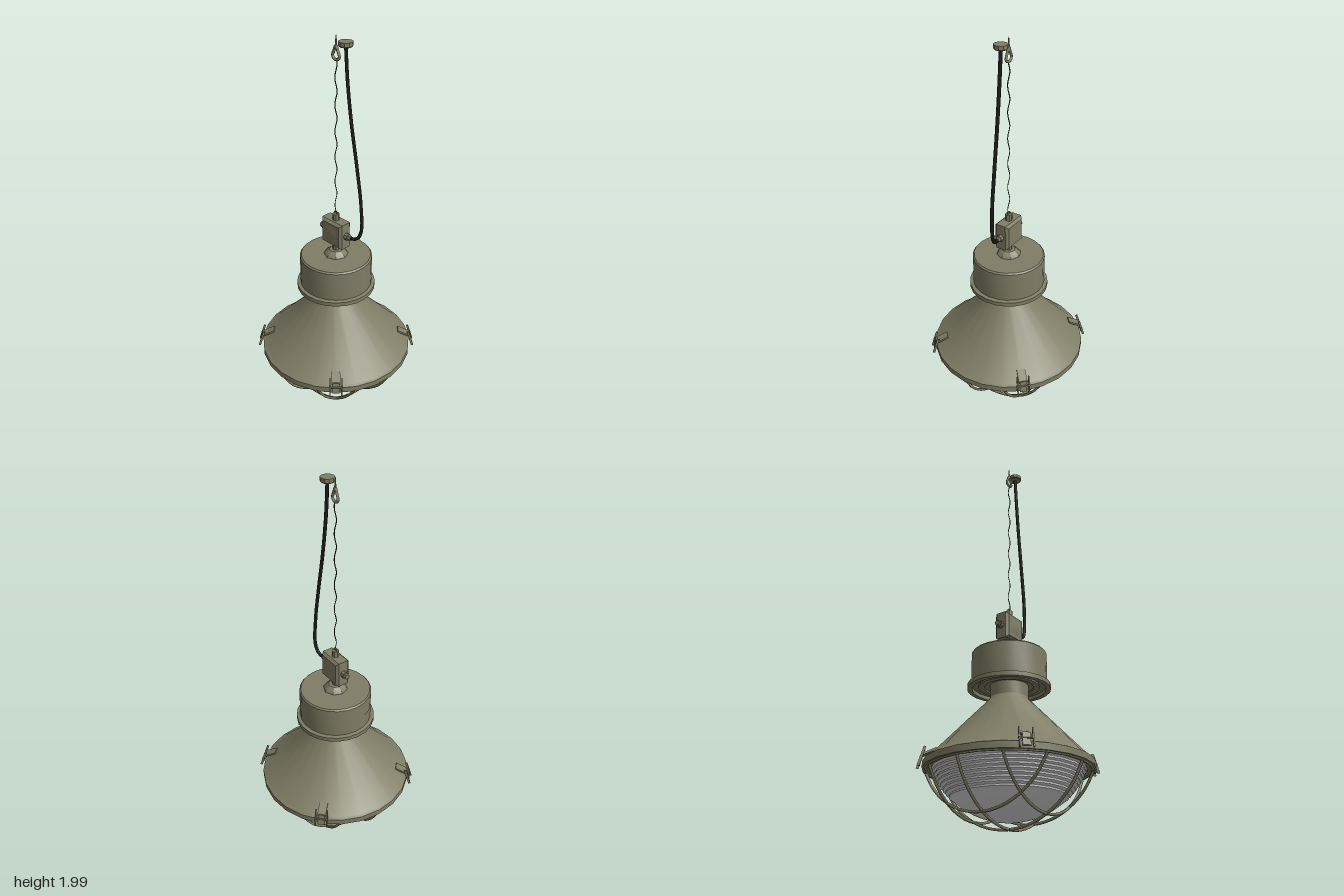
import * as THREE from 'three';
import { toCreasedNormals } from 'three/addons/utils/BufferGeometryUtils.js';

const paint = new THREE.MeshStandardMaterial({ color: 0x7f7d65 });
paint.name = 'olive paint';
const glassMat = new THREE.MeshStandardMaterial({ color: 0xdedede });
glassMat.name = 'pale glass';
const rubber = new THREE.MeshStandardMaterial({ color: 0x1c1c19 });
rubber.name = 'black rubber';

function add(parent, name, geometry, material = paint, x = 0, y = 0, z = 0) {
  const mesh = new THREE.Mesh(geometry, material);
  mesh.name = name;
  mesh.position.set(x, y, z);
  parent.add(mesh);
  return mesh;
}

const lathe = (points, sides = 24) => toCreasedNormals(
  new THREE.LatheGeometry(points.map(([r, y]) => new THREE.Vector2(r, y)), sides), 0.5);

const tube = (points, radius, steps, sides = 6, closed = false) => new THREE.TubeGeometry(
  new THREE.CatmullRomCurve3(points.map(p => new THREE.Vector3(...p)), closed), steps, radius, sides, closed);

const cyl = (rTop, rBottom, h, sides) => toCreasedNormals(
  new THREE.CylinderGeometry(rTop, rBottom, h, sides), 0.5);

// One spring clamp, built facing +z with the rim at z = 0.4
function makeClamp() {
  const clamp = new THREE.Group();
  clamp.name = 'rimClamp';
  const tab = add(clamp, 'clampTab', new THREE.BoxGeometry(0.044, 0.01, 0.07), paint, 0, 0.345, 0.372);
  tab.rotation.x = 0.45;
  const lever = add(clamp, 'clampLever', new THREE.BoxGeometry(0.036, 0.06, 0.008), paint, 0, 0.31, 0.411);
  lever.rotation.x = -0.2;
  const pin = add(clamp, 'clampPin', cyl(0.006, 0.006, 0.07, 8), paint, 0, 0.315, 0.412);
  pin.rotation.z = Math.PI / 2;
  for (const side of [-1, 1]) {
    const arm = add(clamp, 'clampArm', new THREE.BoxGeometry(0.006, 0.095, 0.012), paint, side * 0.03, 0.318, 0.41);
    arm.rotation.x = -0.3;
  }
  return clamp;
}

export function createModel() {
  const lamp = new THREE.Group();
  lamp.name = 'pendantLamp';

  // Conical shade with rim band and neck
  add(lamp, 'shade', lathe([
    [0.35, 0.285], [0.365, 0.272], [0.405, 0.272], [0.405, 0.303], [0.388, 0.31],
    [0.102, 0.612], [0.094, 0.625], [0.094, 0.7],
  ]));

  // Gear housing with a stepped underside, flange and bevelled lid
  add(lamp, 'housing', lathe([
    [0.09, 0.69], [0.12, 0.69], [0.12, 0.682], [0.15, 0.682], [0.15, 0.69], [0.18, 0.69], [0.18, 0.672],
    [0.205, 0.672], [0.205, 0.694], [0.187, 0.698], [0.187, 0.855], [0.18, 0.863], [0, 0.863],
  ]));
  add(lamp, 'ratingPlate', new THREE.CylinderGeometry(0.189, 0.189, 0.05, 4, 1, true, -1.3, 0.4), paint, 0, 0.797, 0);
  add(lamp, 'boss', lathe([[0.064, 0.862], [0.06, 0.87], [0.035, 0.89], [0, 0.89]], 8));
  add(lamp, 'stem', cyl(0.017, 0.017, 0.05, 8), paint, 0, 0.91, 0);

  // Glass bowl: a spherical cap, smooth below and stepped into ribs above
  const glassRadius = y => Math.sqrt(0.396 ** 2 - (0.436 - y) ** 2);
  const profile = [[0, 0.04]];
  for (const y of [0.043, 0.05, 0.062, 0.078, 0.096, 0.115, 0.135]) profile.push([glassRadius(y), y]);
  for (let y = 0.14; y < 0.275; y += 0.016) {
    const r = glassRadius(y + 0.012);
    profile.push([r - 0.004, y + 0.004], [r, y + 0.006], [r, y + 0.013], [r - 0.003, y + 0.015]);
  }
  add(lamp, 'glassBowl', lathe(profile), glassMat);

  // Guard cage: three bars each way, following a shallow spherical cap
  const rim = 0.39, sphere = 0.4225;
  for (const turn of [0, Math.PI / 2]) {
    for (const offset of [-0.2, 0, 0.2]) {
      const half = Math.sqrt(rim * rim - offset * offset);
      const points = [];
      for (let i = 0; i <= 16; i++) {
        const u = half * (i / 8 - 1);
        points.push([u, 0.4295 - Math.sqrt(sphere * sphere - u * u - offset * offset), offset]);
      }
      add(lamp, 'guardBar', tube(points, 0.007, 24)).rotation.y = turn;
    }
  }
  const guardRing = add(lamp, 'guardRing', new THREE.TorusGeometry(0.388, 0.006, 6, 24), paint, 0, 0.271, 0);
  guardRing.rotation.x = Math.PI / 2;

  // Four clamps on the rim
  for (let i = 0; i < 4; i++) {
    const clamp = makeClamp();
    clamp.rotation.y = Math.PI / 4 + i * Math.PI / 2;
    lamp.add(clamp);
  }

  // Junction box with bevelled edges and a shallow domed cover
  const s = 0.058;
  const square = new THREE.Shape([[-s, -s], [s, -s], [s, s], [-s, s]].map(p => new THREE.Vector2(...p)));
  const box = new THREE.ExtrudeGeometry(square, {
    depth: 0.054, bevelThickness: 0.013, bevelSize: 0.012, bevelSegments: 1,
  });
  add(lamp, 'junctionBox', box, paint, 0, 0.996, -0.027);
  const cover = add(lamp, 'boxCover', cyl(0.015, 0.05, 0.006, 8), paint, 0, 0.996, 0.042);
  cover.rotation.x = Math.PI / 2;

  // Cable glands on both sides and the hanging eye on top
  for (const side of [-1, 1]) {
    const collar = add(lamp, 'glandCollar', cyl(0.018, 0.018, 0.02, 8), paint, side * 0.079, 0.996, 0);
    const nut = add(lamp, 'glandNut', cyl(0.014, 0.014, 0.018, 6), paint, side * 0.096, 0.996, 0);
    collar.rotation.z = nut.rotation.z = Math.PI / 2;
  }
  add(lamp, 'topCollar', cyl(0.018, 0.018, 0.034, 8), paint, 0, 1.083, 0);
  add(lamp, 'topEye', new THREE.TorusGeometry(0.01, 0.004, 6, 10), paint, 0, 1.102, 0);

  // Twisted suspension wire
  const twist = [];
  for (let i = 0; i <= 48; i++) {
    const a = i * Math.PI / 4;
    twist.push([0.005 * Math.cos(a), 1.1 + 0.785 * i / 48, 0.005 * Math.sin(a)]);
  }
  add(lamp, 'suspensionWire', tube(twist, 0.0025, 96, 4), rubber);

  // Ceiling hook: teardrop loop and pointed shank
  add(lamp, 'hookLoop', tube([
    [0, 1.95, 0], [0.012, 1.925, 0], [0.021, 1.902, 0], [0.014, 1.889, 0],
    [0, 1.885, 0], [-0.014, 1.889, 0], [-0.021, 1.902, 0], [-0.012, 1.925, 0],
  ], 0.007, 24, 6, true));
  add(lamp, 'hookShank', cyl(0.002, 0.007, 0.06, 6), paint, 0, 1.965, 0);

  // Power cable and ceiling cap
  add(lamp, 'powerCable', tube([
    [0.1, 0.996, 0], [0.135, 1.003, -0.008], [0.16, 1.05, -0.014], [0.158, 1.2, -0.012], [0.13, 1.4, -0.008],
    [0.098, 1.6, -0.003], [0.073, 1.8, 0], [0.06, 1.965, 0],
  ], 0.009, 40), rubber);
  add(lamp, 'ceilingCap', lathe([
    [0, 1.957], [0.03, 1.957], [0.034, 1.962], [0.034, 1.98], [0, 1.98],
  ], 10), paint, 0.06, 0, 0);

  return lamp;
}
